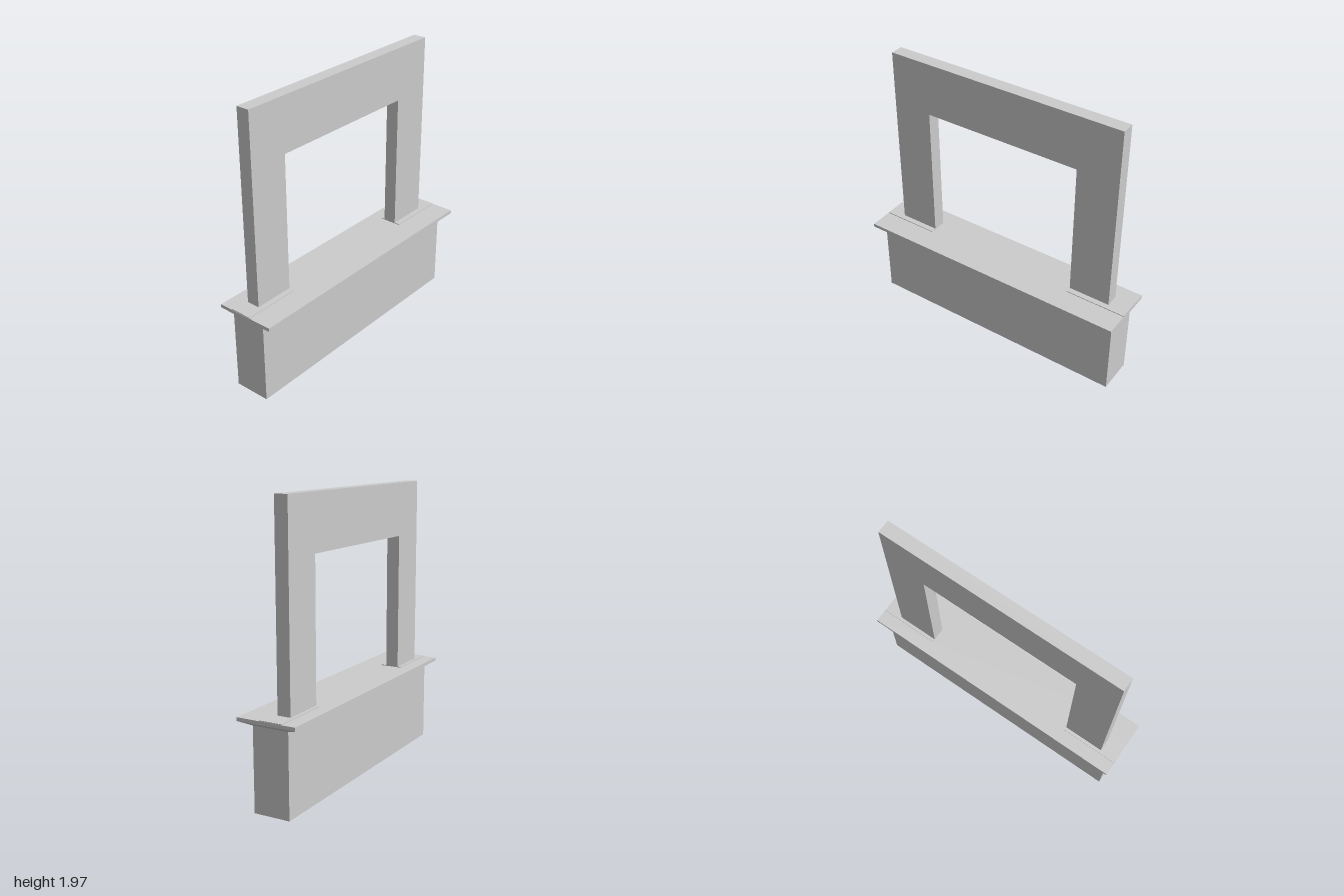
import * as THREE from 'three';

const material = new THREE.MeshStandardMaterial({ color: 0xcccccc, flatShading: true });

function add(group, name, geometry) {
  const mesh = new THREE.Mesh(geometry, material);
  mesh.name = name;
  group.add(mesh);
  return mesh;
}

// Box given by its lower and upper limits on each axis
function boxBetween([x0, x1], [y0, y1], [z0, z1]) {
  return new THREE.BoxGeometry(x1 - x0, y1 - y0, z1 - z0)
    .translate((x0 + x1) / 2, (y0 + y1) / 2, (z0 + z1) / 2);
}

export function createModel() {
  const group = new THREE.Group();
  group.name = 'framedParapet';

  const baseX = [-0.963, 0.957], baseZ = [-0.137, 0.12];
  const slabX = [-1, 0.998], slabZ = [-0.212, 0.21];

  // Solid plinth
  add(group, 'base', boxBetween(baseX, [0, 0.57], baseZ));

  // Overhanging ledge with a tapered underside
  add(group, 'ledge', boxBetween(slabX, [0.596, 0.62], slabZ));
  const taper = boxBetween(slabX, [0.57, 0.596], slabZ);
  const p = taper.attributes.position;
  for (let i = 0; i < p.count; i++) {
    if (p.getY(i) > 0.58) continue;
    p.setX(i, baseX[p.getX(i) > 0 ? 1 : 0]);
    p.setZ(i, baseZ[p.getZ(i) > 0 ? 1 : 0]);
  }
  taper.computeVertexNormals();
  add(group, 'ledgeUnderside', taper);

  // Thin raised plates below the posts, running to the ledge ends
  add(group, 'rightFootPlate', boxBetween([-0.998, -0.587], [0.615, 0.625], [-0.117, 0.042]));
  add(group, 'leftFootPlate', boxBetween([0.562, 0.996], [0.615, 0.625], [-0.117, 0.042]));

  // Upright frame: two posts and a deep lintel in one piece
  const outline = [
    [-0.877, 0.618], [-0.588, 0.618], [-0.588, 1.59], [0.562, 1.59],
    [0.562, 0.618], [0.861, 0.618], [0.861, 1.968], [-0.877, 1.968],
  ].map(([x, y]) => new THREE.Vector2(x, y));
  const frame = new THREE.ExtrudeGeometry(new THREE.Shape(outline), { depth: 0.094, bevelEnabled: false });
  add(group, 'frame', frame.translate(0, 0, -0.092));

  return group;
}
